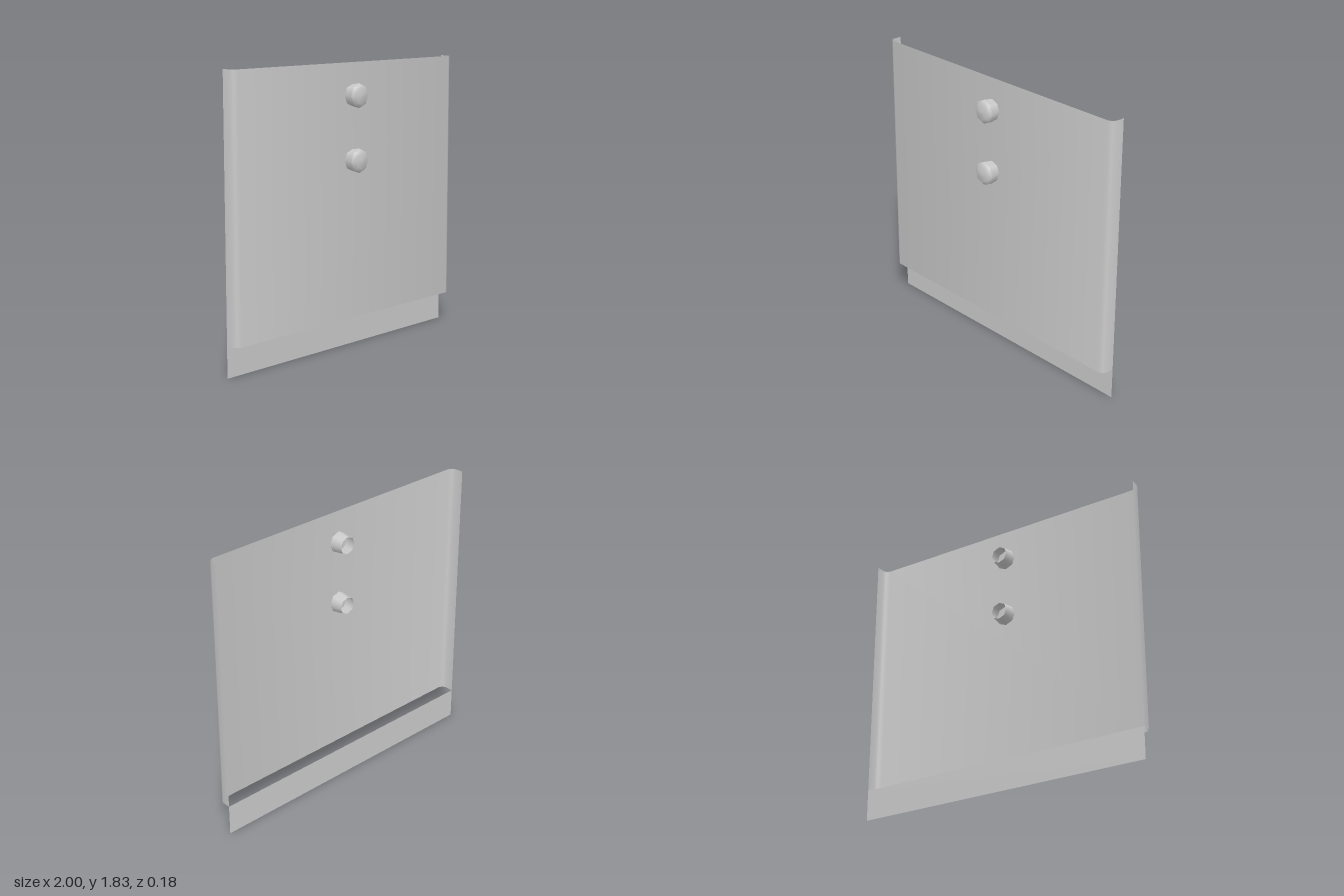
import * as THREE from 'three';

const material = new THREE.MeshStandardMaterial({ color: 0xcccccc, side: THREE.DoubleSide });

function addMesh(parent, name, geometry) {
  const mesh = new THREE.Mesh(geometry, material);
  mesh.name = name;
  parent.add(mesh);
  return mesh;
}

// Thin sheet: an (x, z) profile raised from y0 to y1, with normals averaged at each bend
function sheet(profile, y0, y1) {
  const normals = profile.slice(1).map((p, i) => {
    const d = p.clone().sub(profile[i]).normalize();
    return new THREE.Vector2(-d.y, d.x);
  });
  const pos = [], nor = [], index = [];
  profile.forEach((p, i) => {
    const a = normals[Math.max(i - 1, 0)];
    const b = normals[Math.min(i, normals.length - 1)];
    const n = a.clone().add(b).normalize();
    for (const y of [y0, y1]) {
      pos.push(p.x, y, p.y);
      nor.push(n.x, 0, n.y);
    }
    if (i > 0) {
      const k = 2 * i;
      index.push(k - 2, k, k + 1, k - 2, k + 1, k - 1);
    }
  });
  const geometry = new THREE.BufferGeometry();
  geometry.setAttribute('position', new THREE.Float32BufferAttribute(pos, 3));
  geometry.setAttribute('normal', new THREE.Float32BufferAttribute(nor, 3));
  geometry.setIndex(index);
  return geometry;
}

export function createModel() {
  const group = new THREE.Group();
  group.name = 'drawerFront';
  const depth = 0.09;

  // Front panel with rounded edges folded back into side flanges
  const half = [[0.965, 0], [0.99, -0.012], [1, -0.035], [1, -depth]];
  const profile = [
    ...half.slice().reverse().map(([x, z]) => new THREE.Vector2(-x, z)),
    ...half.map(([x, z]) => new THREE.Vector2(x, z)),
  ];
  addMesh(group, 'frontPanel', sheet(profile, 0.2, 1.83));

  // Recessed kick strip below the panel
  const kick = addMesh(group, 'kickStrip', new THREE.PlaneGeometry(2, 0.2));
  kick.position.set(0, 0.1, -depth);

  // Two eight-sided knobs, open at the back
  const knobProfile = [[0.056, -0.08], [0.077, 0.058], [0.073, 0.068], [0.052, 0.086], [0, 0.09]]
    .map(([r, z]) => new THREE.Vector2(r, z));
  const knobGeometry = new THREE.LatheGeometry(knobProfile, 8).rotateX(Math.PI / 2);
  [['upperKnob', 1.625], ['lowerKnob', 1.218]].forEach(([name, y]) => {
    addMesh(group, name, knobGeometry).position.y = y;
  });

  return group;
}
